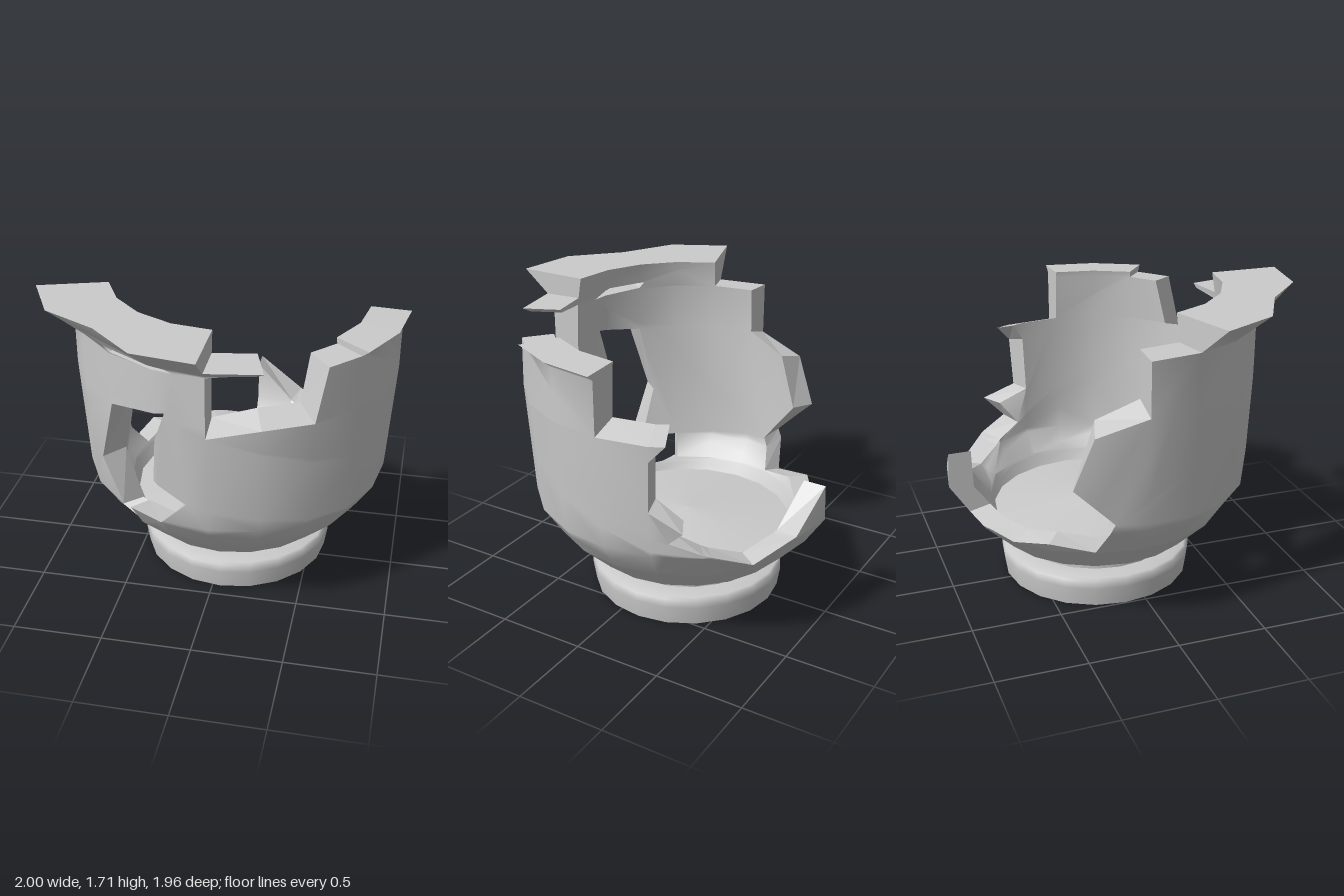
import * as THREE from 'three';
import { mergeVertices, toCreasedNormals } from 'three/addons/utils/BufferGeometryUtils.js';

const SIDES = 20, STEP = 360 / SIDES;

// Wall rings: outer height, outer radius, inner height, inner radius
const RINGS = [
  [0.265, 0.57, 0.40, 0.59],
  [0.44, 0.75, 0.47, 0.63],
  [0.61, 0.862, 0.59, 0.72],
  [1.25, 0.905, 1.30, 0.745],
  [1.55, 0.907, 1.56, 0.735],
  [1.71, 1.1, 1.71, 0.71],
];

// Bent spots: degrees, height, outward push, reach in degrees, reach in height
const BENDS = [
  [-36, 1.71, -0.1, 18, 0.16],
  [119, 0.8, 0.085, 11, 0.1],
  [144, 0.53, 0.045, 18, 0.08],
  [-115, 0.88, 0.045, 14, 0.2],
  [-43, 0.88, 0.04, 12, 0.25],
  [180, 0.81, -0.02, 18, 0.2],
];

// Broken outline of the unrolled wall: [degrees from the front, height], counter-clockwise
const OUTLINE = [
  [-180, 0.265], [180, 0.265], [180, 0.81],
  [162, 0.62], [144, 0.53], [114, 0.69], [119, 0.80], [107.5, 0.87],
  [108, 1.16], [113.5, 1.25], [90, 1.25], [90, 1.585], [54, 1.585],
  [54, 1.55], [40.7, 1.545], [36, 1.245], [18, 1.245], [0, 1.19],
  [0, 1.54], [16, 1.56], [18, 1.585], [0, 1.585], [0, 1.71],
  [-72, 1.71], [-72, 1.55], [-90, 1.55], [-90, 1.25],
  [-108, 1.16], [-115, 0.88], [-101, 0.66], [-108, 0.45], [-126, 0.50],
  [-144, 0.44], [-157, 0.46], [-178, 0.44], [-180, 0.44],
];
// Holes broken through the wall, clockwise
const HOLES = [
  [[-36, 1.25], [-14, 1.30], [-18, 1.13], [-20, 0.86], [-8, 0.75], [-19, 0.58],
    [-33, 0.60], [-35.5, 0.37], [-53, 0.43], [-54, 0.61], [-36, 0.61], [-43, 0.88]],
  [[-38, 1.585], [-20, 1.585], [-11, 1.535], [-36, 1.55]],
];

// Places an unrolled point on the outer or inner surface of the faceted pot
function place([deg, y], inner) {
  let i = 0;
  while (i < RINGS.length - 2 && y > RINGS[i + 1][0]) i++;
  const a = RINGS[i], b = RINGS[i + 1];
  const t = (y - a[0]) / (b[0] - a[0]);
  const mix = (k) => a[k] + (b[k] - a[k]) * t;
  const k = Math.min(Math.floor((deg + 180) / STEP + 1e-6), SIDES - 1);
  const start = k * STEP - 180, f = (deg - start) / STEP;
  const a0 = THREE.MathUtils.degToRad(start);
  const a1 = THREE.MathUtils.degToRad(start + STEP);
  let r = mix(inner ? 3 : 1);
  for (const [d, h, push, reachD, reachH] of BENDS) {
    if (inner && push < 0) continue;
    r += push * Math.max(0, 1 - Math.hypot((deg - d) / reachD, (y - h) / reachH));
  }
  return [
    r * (Math.sin(a0) * (1 - f) + Math.sin(a1) * f),
    inner ? mix(2) : y,
    r * (Math.cos(a0) * (1 - f) + Math.cos(a1) * f),
  ];
}

// Keeps the part of a convex polygon where sign * (point[axis] - limit) >= 0
function clip(poly, axis, limit, sign) {
  const out = [];
  poly.forEach((p, i) => {
    const q = poly[(i + 1) % poly.length];
    const dp = sign * (p[axis] - limit), dq = sign * (q[axis] - limit);
    if (dp >= 0) out.push(p);
    if ((dp > 1e-9 && dq < -1e-9) || (dp < -1e-9 && dq > 1e-9)) {
      const t = dp / (dp - dq);
      const c = [p[0] + (q[0] - p[0]) * t, p[1] + (q[1] - p[1]) * t];
      c[axis] = limit;
      out.push(c);
    }
  });
  return out;
}

function fan(pos, pts) {
  for (let i = 1; i < pts.length - 1; i++) pos.push(...pts[0], ...pts[i], ...pts[i + 1]);
}

function fromPositions(pos) {
  const g = new THREE.BufferGeometry();
  g.setAttribute('position', new THREE.Float32BufferAttribute(pos, 3));
  return g;
}

// Outer and inner skins, cut along every facet and ring, smooth
function skinGeometry() {
  const pos = [];
  const toV = (loop) => loop.map(([u, v]) => new THREE.Vector2(u, v));
  const all = [OUTLINE, ...HOLES].flat();
  const tris = THREE.ShapeUtils.triangulateShape(toV(OUTLINE), HOLES.map(toV));
  for (const tri of tris) {
    const base = tri.map((i) => all[i]);
    const [p, q, s] = base;
    if ((q[0] - p[0]) * (s[1] - p[1]) - (q[1] - p[1]) * (s[0] - p[0]) < 0) base.reverse();
    for (let k = 0; k < SIDES; k++) {
      let strip = clip(base, 0, k * STEP - 180, 1);
      strip = clip(strip, 0, (k + 1) * STEP - 180, -1);
      if (strip.length < 3) continue;
      for (let j = 0; j < RINGS.length - 1; j++) {
        const cell = clip(clip(strip, 1, RINGS[j][0], 1), 1, RINGS[j + 1][0], -1);
        if (cell.length < 3) continue;
        fan(pos, cell.map((c) => place(c, false)));
        fan(pos, cell.map((c) => place(c, true)).reverse());
      }
    }
  }
  const g = mergeVertices(fromPositions(pos), 1e-4);
  g.computeVertexNormals();
  return g;
}

// Broken faces joining the two skins, flat
function breakGeometry() {
  const pos = [];
  for (const loop of [OUTLINE, ...HOLES]) {
    loop.forEach((a, i) => {
      const b = loop[(i + 1) % loop.length];
      const cuts = [0, 1];
      const addCut = (axis, v) => {
        const t = (v - a[axis]) / (b[axis] - a[axis]);
        if (t > 1e-6 && t < 1 - 1e-6) cuts.push(t);
      };
      for (let k = 1; k < SIDES; k++) addCut(0, k * STEP - 180);
      RINGS.forEach((ring) => addCut(1, ring[0]));
      cuts.sort((m, n) => m - n);
      const at = (t) => [a[0] + (b[0] - a[0]) * t, a[1] + (b[1] - a[1]) * t];
      for (let c = 0; c < cuts.length - 1; c++) {
        const p = at(cuts[c]), q = at(cuts[c + 1]);
        fan(pos, [place(p, false), place(p, true), place(q, true), place(q, false)]);
      }
    });
  }
  const g = fromPositions(pos);
  g.computeVertexNormals();
  return g;
}

export function createModel() {
  const group = new THREE.Group();
  group.name = 'brokenPot';
  const material = new THREE.MeshStandardMaterial({ color: 0xcccccc });
  const add = (name, geometry) => {
    const mesh = new THREE.Mesh(geometry, material);
    mesh.name = name;
    mesh.position.set(0.045, 0, -0.12);
    group.add(mesh);
  };

  // Shattered bowl with its remaining flared rim
  add('wallSkins', skinGeometry());
  add('brokenEdges', breakGeometry());

  // Foot, neck and underside of the bowl
  const foot = [[0, 0], [0.54, 0], [0.557, 0.11], [0.555, 0.16], [0.54, 0.17],
    [0.44, 0.175], [0.44, 0.265], [0.57, 0.265]].map(([r, y]) => new THREE.Vector2(r, y));
  add('foot', toCreasedNormals(new THREE.LatheGeometry(foot, SIDES), 1));

  // Inside floor, slightly raised in the middle
  const floor = [[0.59, 0.40], [0, 0.45]].map(([r, y]) => new THREE.Vector2(r, y));
  add('floor', new THREE.LatheGeometry(floor, SIDES));

  return group;
}
